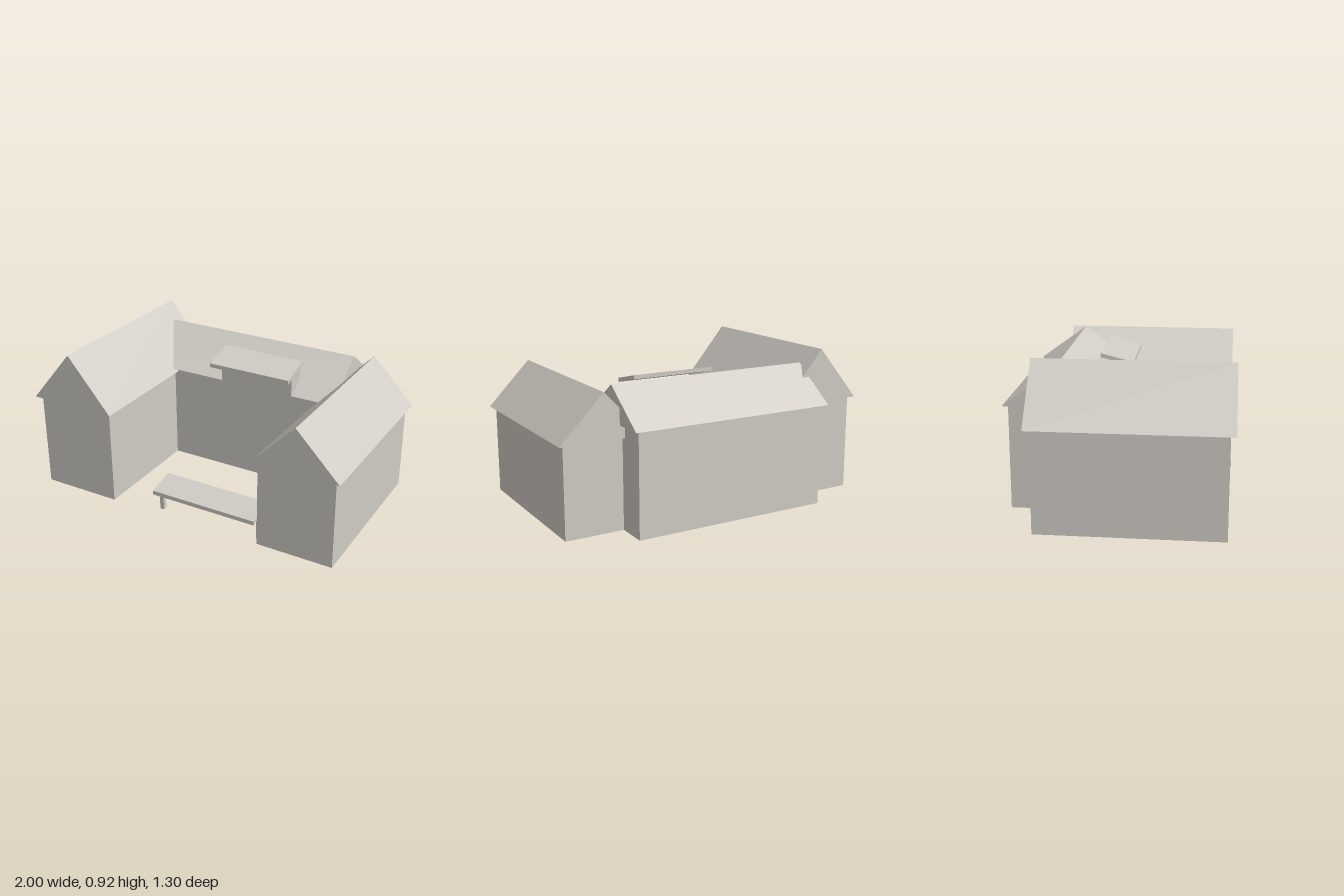
import * as THREE from 'three';

const plaster = new THREE.MeshStandardMaterial({ color: 0xd0ccc5 });
plaster.name = 'warm grey';

export function createModel() {
  const house = new THREE.Group();
  house.name = 'house';

  const add = (name, geometry) => {
    const mesh = new THREE.Mesh(geometry, plaster);
    mesh.name = name;
    house.add(mesh);
  };

  // Box given by its limits on each axis
  const block = (name, [x0, x1], [y0, y1], [z0, z1]) =>
    add(name, new THREE.BoxGeometry(x1 - x0, y1 - y0, z1 - z0)
      .translate((x0 + x1) / 2, (y0 + y1) / 2, (z0 + z1) / 2));

  const extrude = (points, depth) => new THREE.ExtrudeGeometry(
    new THREE.Shape(points.map(([a, b]) => new THREE.Vector2(a, b))),
    { depth, bevelEnabled: false });

  // Prism with an (x, y) outline running along z
  const prismZ = (name, points, z0, z1) =>
    add(name, extrude(points, z1 - z0).translate(0, 0, z0));

  // Prism with a (z, y) outline running along x
  const prismX = (name, points, x0, x1) =>
    add(name, extrude(points.map(([z, y]) => [-z, y]), x1 - x0)
      .rotateY(Math.PI / 2).translate(x0, 0, 0));

  const gable = (a0, a1, eave, ridge) => [[a0, eave], [a1, eave], [(a0 + a1) / 2, ridge]];

  // Side wings, the right-hand one of the picture plane slightly lower
  block('tallWingWalls', [-0.97, -0.475], [0, 0.59], [-0.43, 0.62]);
  prismZ('tallWingRoof', gable(-1, -0.45, 0.59, 0.915), -0.46, 0.65);
  block('lowWingWalls', [0.505, 0.97], [0, 0.54], [-0.43, 0.608]);
  prismZ('lowWingRoof', gable(0.475, 1, 0.54, 0.81), -0.46, 0.637);

  // Main block across the back
  block('mainWalls', [-0.607, 0.615], [0, 0.615], [-0.62, -0.1]);
  prismX('mainRoof', gable(-0.65, -0.07, 0.615, 0.825), -0.637, 0.645);

  // Dormer with a sloping slab roof
  block('dormerWalls', [-0.103, 0.375], [0.612, 0.755], [-0.18, -0.06]);
  prismX('dormerRoof', [[0.04, 0.74], [0.04, 0.765], [-0.16, 0.815], [-0.16, 0.79]], -0.13, 0.4);

  // Low canopy between the wings, on two posts
  prismX('canopyRoof', [[0.637, 0.138], [0.637, 0.163], [0.47, 0.2], [0.47, 0.175]], -0.172, 0.5);
  for (const x of [-0.163, 0.491])
    block('canopyPost', [x - 0.013, x + 0.013], [0, 0.165], [0.537, 0.563]);

  return house;
}
